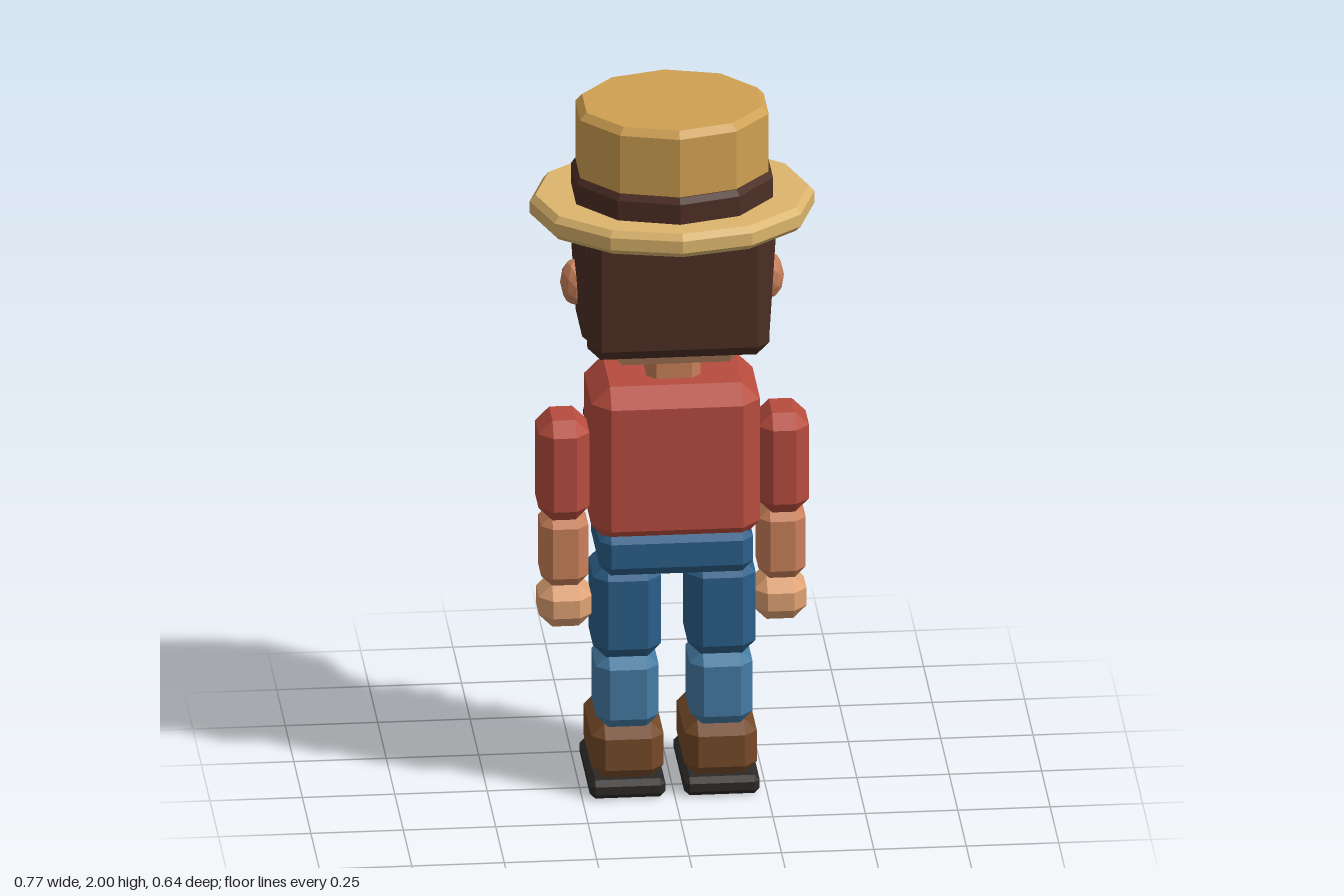
import * as THREE from 'three';
import { ConvexGeometry } from 'three/addons/geometries/ConvexGeometry.js';

const mats = {};
const mat = (color) => (mats[color] ??= new THREE.MeshStandardMaterial({ color, flatShading: true }));

const SHIRT = 0xb84c3e, CREASE = 0x6e2a24, JEANS = 0x2c5f8a, DENIM = 0x457ba3;
const SKIN = 0xc9805a, FACE = 0xe0a274, HAIR = 0x4c2e24, BOOT = 0x754a28, SOLE = 0x2c2a28;
const STRAW = 0xcfa052, BRIM = 0xdcb56c, BRASS = 0xd0a030, DARK = 0x22252a;

// Box with every edge chamfered by c, given as [min, max] ranges
function block(x, y, z, c) {
  const lo = new THREE.Vector3(x[0], y[0], z[0]), hi = new THREE.Vector3(x[1], y[1], z[1]);
  const h = hi.clone().sub(lo).multiplyScalar(0.5);
  const pts = [];
  for (const sx of [-1, 1]) for (const sy of [-1, 1]) for (const sz of [-1, 1]) {
    pts.push(new THREE.Vector3(sx * h.x, sy * (h.y - c), sz * (h.z - c)));
    pts.push(new THREE.Vector3(sx * (h.x - c), sy * h.y, sz * (h.z - c)));
    pts.push(new THREE.Vector3(sx * (h.x - c), sy * (h.y - c), sz * h.z));
  }
  return { geo: new ConvexGeometry(pts), pos: lo.add(hi).multiplyScalar(0.5) };
}

export function createModel() {
  const model = new THREE.Group();
  model.name = 'farmer';

  const add = (name, geo, color, x = 0, y = 0, z = 0) => {
    const m = new THREE.Mesh(geo, mat(color));
    m.name = name;
    m.position.set(x, y, z);
    model.add(m);
    return m;
  };
  const addBlock = (name, color, x, y, z, c) => {
    const b = block(x, y, z, c);
    return add(name, b.geo, color, b.pos.x, b.pos.y, b.pos.z);
  };
  // The same block on both sides, x given for the left (+x)
  const pair = (name, color, x, y, z, c, tilt = 0) => {
    addBlock('left' + name, color, x, y, z, c).rotation.z = tilt;
    addBlock('right' + name, color, [-x[1], -x[0]], y, z, c).rotation.z = -tilt;
  };

  // Legs and boots
  pair('Sole', SOLE, [0.025, 0.23], [0, 0.053], [-0.235, 0.095], 0.015);
  pair('Boot', BOOT, [0.028, 0.224], [0.05, 0.21], [-0.2, 0.095], 0.035);
  pair('Shin', DENIM, [0.042, 0.212], [0.2, 0.415], [-0.1, 0.1], 0.035);
  pair('Thigh', JEANS, [0.036, 0.22], [0.405, 0.68], [-0.108, 0.106], 0.038);

  // Trunk
  addBlock('pelvis', JEANS, [-0.208, 0.208], [0.67, 0.8], [-0.155, 0.155], 0.03);
  addBlock('waistband', JEANS, [-0.195, 0.195], [0.71, 0.84], [-0.17, -0.1], 0.015);
  addBlock('torso', SHIRT, [-0.228, 0.228], [0.76, 1.215], [-0.16, 0.16], 0.05);
  addBlock('neck', SKIN, [-0.073, 0.073], [1.18, 1.31], [-0.066, 0.068], 0.025);

  // Arms
  pair('Sleeve', SHIRT, [0.228, 0.366], [0.806, 1.097], [-0.086, 0.09], 0.038);
  pair('Forearm', SKIN, [0.23, 0.358], [0.61, 0.815], [-0.075, 0.07], 0.03);
  pair('Hand', FACE, [0.218, 0.362], [0.482, 0.605], [-0.1, 0.056], 0.036);

  // Bib, straps, pocket and fittings
  addBlock('bib', JEANS, [-0.145, 0.145], [0.82, 1.15], [-0.192, -0.15], 0.01);
  pair('Strap', JEANS, [0.115, 0.16], [0.87, 1.222], [-0.185, -0.145], 0.008);
  pair('Buckle', BRASS, [0.1, 0.17], [1.13, 1.19], [-0.202, -0.165], 0.008);
  addBlock('collarClasp', BRASS, [-0.055, 0.055], [1.208, 1.264], [-0.215, -0.13], 0.01);
  addBlock('bibPocket', DENIM, [-0.075, 0.075], [0.91, 1.01], [-0.215, -0.185], 0.01);
  const disc = (name, r, d, color, z) => {
    add(name, new THREE.CylinderGeometry(r, r, d, 10), color, 0.09, 0.975, z).rotation.x = Math.PI / 2;
  };
  disc('badge', 0.034, 0.035, BRASS, -0.218);
  disc('badgeCentre', 0.014, 0.02, CREASE, -0.238);

  // Short folds in the shirt
  for (const s of [-1, 1]) {
    for (const [x, y, z] of [[0.19, 1.03, -0.157], [0.19, 0.91, -0.157], [0.3, 0.93, -0.084]]) {
      const fold = add('shirtFold', new THREE.CylinderGeometry(0.011, 0.011, 0.07, 6), CREASE, s * x, y, z);
      fold.rotation.z = Math.PI / 2 + s * 0.1;
    }
  }

  // Head and hair
  addBlock('head', FACE, [-0.21, 0.21], [1.283, 1.71], [-0.196, 0.19], 0.065);
  addBlock('backHair', HAIR, [-0.246, 0.246], [1.33, 1.7], [0.135, 0.228], 0.035);
  pair('SideHair', HAIR, [0.17, 0.262], [1.345, 1.665], [-0.098, 0.14], 0.025, -0.06);

  // Face and ears
  for (const s of [-1, 1]) {
    const side = s > 0 ? 'left' : 'right';
    add(side + 'Ear', new THREE.IcosahedronGeometry(1, 1), SKIN, s * 0.263, 1.48, 0)
      .scale.set(0.04, 0.067, 0.045);
    const brow = block([-0.065, 0.065], [-0.018, 0.018], [-0.016, 0.016], 0.006);
    add(side + 'Brow', brow.geo, HAIR, s * 0.125, 1.632, -0.205).rotation.z = -s * 0.06;
  }
  pair('Eye', DARK, [0.088, 0.13], [1.475, 1.56], [-0.212, -0.185], 0.008);
  pair('EyeGlint', 0x7c868c, [0.098, 0.112], [1.525, 1.545], [-0.215, -0.205], 0.003);
  add('nose', new THREE.IcosahedronGeometry(0.023, 1), SKIN, 0, 1.448, -0.208);
  const smile = new THREE.QuadraticBezierCurve3(
    new THREE.Vector3(-0.045, 1.372, -0.198), new THREE.Vector3(0, 1.338, -0.206), new THREE.Vector3(0.045, 1.372, -0.198));
  add('mouth', new THREE.TubeGeometry(smile, 6, 0.007, 5), HAIR);

  // Hat: faceted rings stretched to an oval
  const ring = (name, profile, sides, color, rx, rz) => {
    const geo = new THREE.LatheGeometry(profile.map(([r, y]) => new THREE.Vector2(r, y)), sides);
    add(name, geo, color).scale.set(rx, 1, rz);
  };
  ring('hatBrim', [[0, 1.67], [0.96, 1.67], [1, 1.685], [1, 1.72], [0.96, 1.738], [0, 1.738]], 12, BRIM, 0.385, 0.32);
  ring('hatBand', [[0, 1.73], [1, 1.73], [1, 1.795], [0.96, 1.812], [0, 1.812]], 10, HAIR, 0.28, 0.244);
  ring('hatCrown', [[0, 1.72], [1, 1.72], [1, 1.98], [0.93, 2], [0, 2]], 10, STRAW, 0.268, 0.23);

  return model;
}
